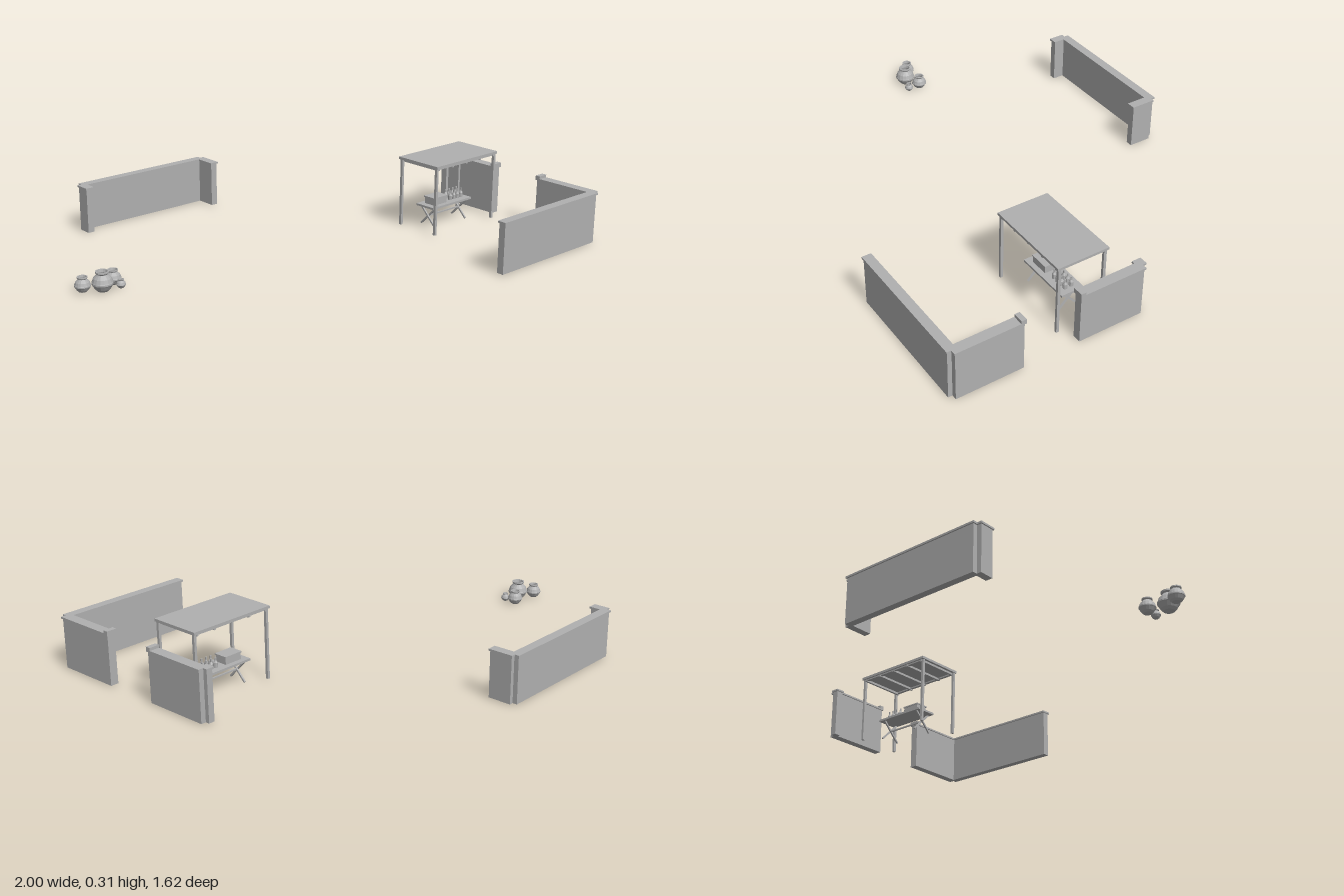
import * as THREE from 'three';

export function createModel() {
  const root = new THREE.Group();
  const grey = new THREE.MeshStandardMaterial({ color: 0xb0b0b0, flatShading: true, side: THREE.DoubleSide });
  grey.name = 'plain grey';

  const add = (parent, name, geometry) => {
    const mesh = new THREE.Mesh(geometry, grey);
    mesh.name = name;
    parent.add(mesh);
    return mesh;
  };
  const group = (name) => {
    const g = new THREE.Group();
    g.name = name;
    root.add(g);
    return g;
  };
  // Box given by its limits on each axis
  const block = (parent, name, x0, x1, y0, y1, z0, z1) => {
    const mesh = add(parent, name, new THREE.BoxGeometry(x1 - x0, y1 - y0, z1 - z0));
    mesh.position.set((x0 + x1) / 2, (y0 + y1) / 2, (z0 + z1) / 2);
    return mesh;
  };
  // Wall panel with a slightly overhanging cap
  const wall = (parent, name, x0, x1, z0, z1, h) => {
    const o = 0.005;
    block(parent, name + 'Panel', x0 + o, x1 - o, 0, h - 0.008, z0 + o, z1 - o);
    block(parent, name + 'Cap', x0, x1, h - 0.008, h, z0, z1);
  };

  // Back wall with two short returns
  const back = group('backWall');
  wall(back, 'long', -0.56, 0.09, -0.81, -0.77, 0.203);
  wall(back, 'rightReturn', -0.58, -0.54, -0.79, -0.72, 0.203);
  wall(back, 'leftReturn', 0.067, 0.107, -0.79, -0.68, 0.203);

  // Front corner wall
  const corner = group('cornerWall');
  wall(corner, 'front', 0.375, 0.975, 0.765, 0.805, 0.22);
  wall(corner, 'side', 0.952, 0.997, 0.492, 0.787, 0.22);
  block(corner, 'endBlock', 0.952, 0.997, 0.22, 0.232, 0.492, 0.514);

  // Side wall
  const side = group('sideWall');
  wall(side, 'side', 0.952, 0.997, -0.037, 0.258, 0.22);
  wall(side, 'backReturn', 0.938, 0.975, -0.055, -0.015, 0.22);
  block(side, 'endBlock', 0.952, 0.997, 0.22, 0.232, 0.236, 0.258);

  // Canopy: roof board, rafters and four posts
  const canopy = group('canopy');
  block(canopy, 'roof', 0.523, 0.913, 0.299, 0.31, 0.075, 0.302);
  for (const z of [0.082, 0.285]) {
    block(canopy, 'beam', 0.527, 0.909, 0.293, 0.299, z, z + 0.012);
    for (const x of [0.527, 0.898]) block(canopy, 'post', x, x + 0.011, 0, 0.299, z, z + 0.012);
  }
  for (let i = 0; i < 5; i++) {
    const x = 0.54 + i * 0.0885;
    block(canopy, 'rafter', x - 0.005, x + 0.005, 0.289, 0.299, 0.08, 0.298);
  }

  // Trestle table with crossed legs
  const table = group('table');
  table.position.set(0.715, 0, 0.175);
  block(table, 'tableTop', -0.125, 0.125, 0.085, 0.094, -0.05, 0.05);
  for (const x of [-0.1, 0.1]) {
    for (const s of [-1, 1]) {
      const leg = add(table, 'crossedLeg', new THREE.BoxGeometry(0.007, 0.126, 0.007));
      leg.position.set(x + s * 0.0036, 0.044, 0);
      leg.rotation.x = s * 0.78;
    }
  }
  block(table, 'stretcher', -0.1, 0.1, 0.041, 0.047, -0.003, 0.003);

  // Goods on the table
  block(table, 'crate', -0.095, -0.015, 0.094, 0.122, -0.028, 0.028);
  block(table, 'crateLid', -0.098, -0.012, 0.122, 0.128, -0.031, 0.031);
  const bottle = [[0, 0], [0.009, 0], [0.009, 0.02], [0.0035, 0.029], [0.0035, 0.042], [0, 0.042]];
  const bottleShape = new THREE.LatheGeometry(bottle.map((p) => new THREE.Vector2(...p)), 8);
  for (let i = 0; i < 4; i++) {
    for (let j = 0; j < 2; j++) {
      add(table, 'bottle', bottleShape).position.set(0.025 + i * 0.023, 0.094, -0.014 + j * 0.028);
    }
  }

  // Clay pots: banded belly, narrow neck, flared rim, hollow mouth
  const profile = [
    [0, 0], [0.5, 0], [0.72, 0.12], [0.94, 0.32], [1, 0.36], [1, 0.44], [0.96, 0.48], [0.84, 0.66],
    [0.6, 0.8], [0.52, 0.86], [0.64, 0.93], [0.64, 1], [0.5, 1], [0.44, 0.86], [0.5, 0.7], [0, 0.66],
  ];
  const pots = group('pots');
  const sizes = [
    [-0.967, -0.155, 0.033, 0.06], [-0.905, -0.11, 0.043, 0.08],
    [-0.834, -0.145, 0.033, 0.06], [-0.834, -0.09, 0.019, 0.035],
  ];
  for (const [x, z, r, h] of sizes) {
    const points = profile.map(([a, b]) => new THREE.Vector2(a * r, b * h));
    add(pots, 'pot', new THREE.LatheGeometry(points, 16)).position.set(x, 0, z);
  }
  return root;
}
